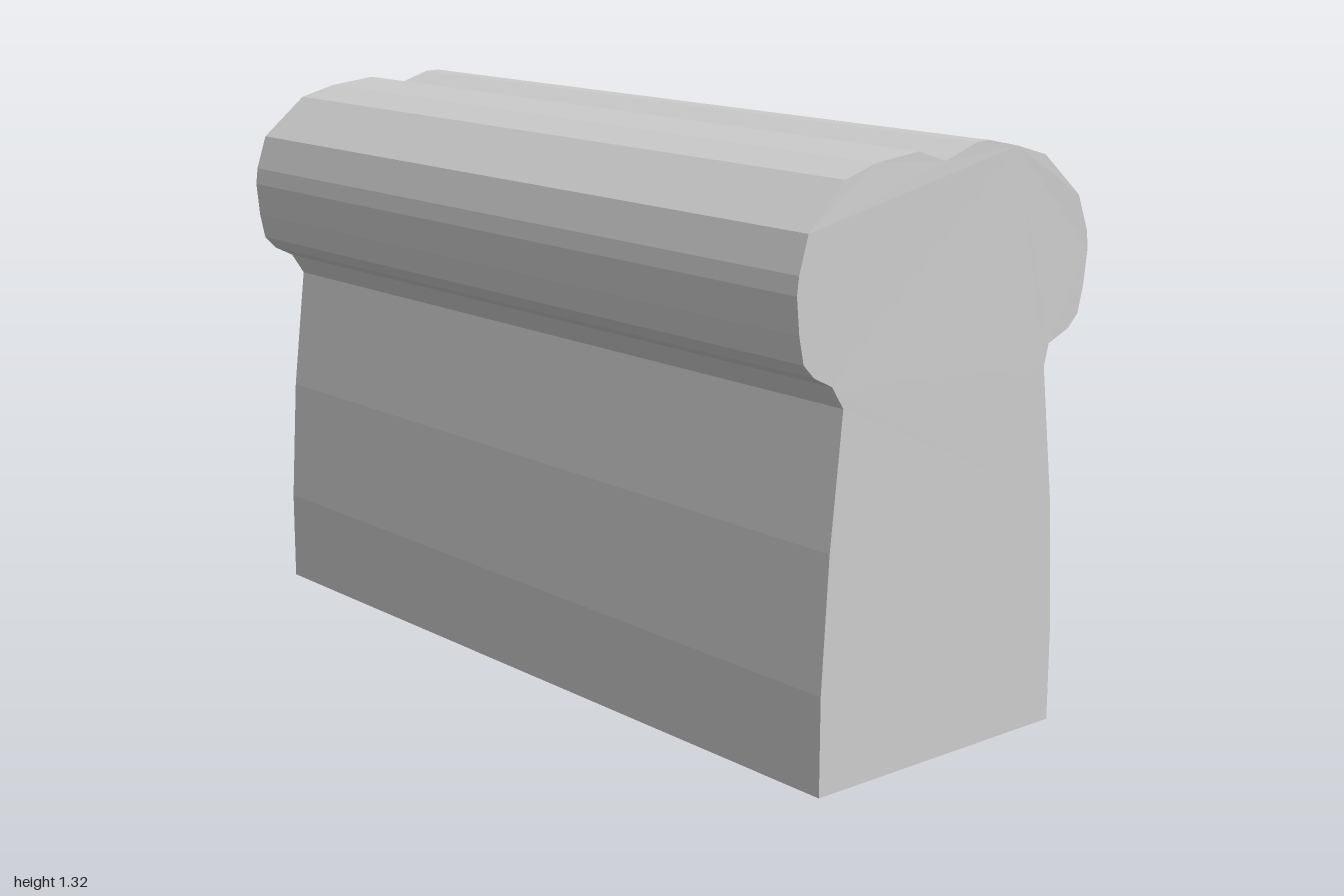
import * as THREE from 'three';

// End outline as [z, y], from the front foot over the crown to the back foot
const OUTLINE = [
  [0.355, 0], [0.355, 0.22], [0.337, 0.52], [0.302, 0.815],
  [0.335, 0.865], [0.385, 0.89], [0.414, 0.92], [0.427, 0.98], [0.435, 1.06], [0.43, 1.1], [0.405, 1.18],
  [0.3, 1.275], [0.21, 1.3], [0.09, 1.313], [0.01, 1.287],
  [-0.085, 1.318], [-0.12, 1.319], [-0.21, 1.3], [-0.295, 1.275],
  [-0.4, 1.18], [-0.43, 1.1], [-0.435, 1.06], [-0.425, 0.98], [-0.41, 0.92], [-0.38, 0.89],
  [-0.318, 0.865], [-0.305, 0.815], [-0.337, 0.52], [-0.355, 0.22], [-0.355, 0],
];

export function createModel() {
  const group = new THREE.Group();
  group.name = 'breadLoaf';

  // Loaf: the outline swept from end to end along x
  const shape = new THREE.Shape(OUTLINE.map(([z, y]) => new THREE.Vector2(-z, y)));
  const geometry = new THREE.ExtrudeGeometry(shape, { depth: 2, bevelEnabled: false });
  geometry.translate(0, 0, -1).rotateY(Math.PI / 2);

  // Both ends lean in slightly towards the crown
  const p = geometry.attributes.position;
  for (let i = 0; i < p.count; i++) {
    const lean = THREE.MathUtils.clamp((p.getY(i) - 1.12) / 0.18, 0, 1) ** 2;
    const x = p.getX(i);
    p.setX(i, x < 0 ? x + 0.025 * lean : x - 0.004 * (p.getY(i) > 0.8) - 0.012 * lean);
  }
  geometry.computeVertexNormals();

  const loaf = new THREE.Mesh(
    geometry,
    new THREE.MeshStandardMaterial({ color: 0xcccccc, flatShading: true })
  );
  loaf.name = 'loaf';
  group.add(loaf);
  return group;
}
